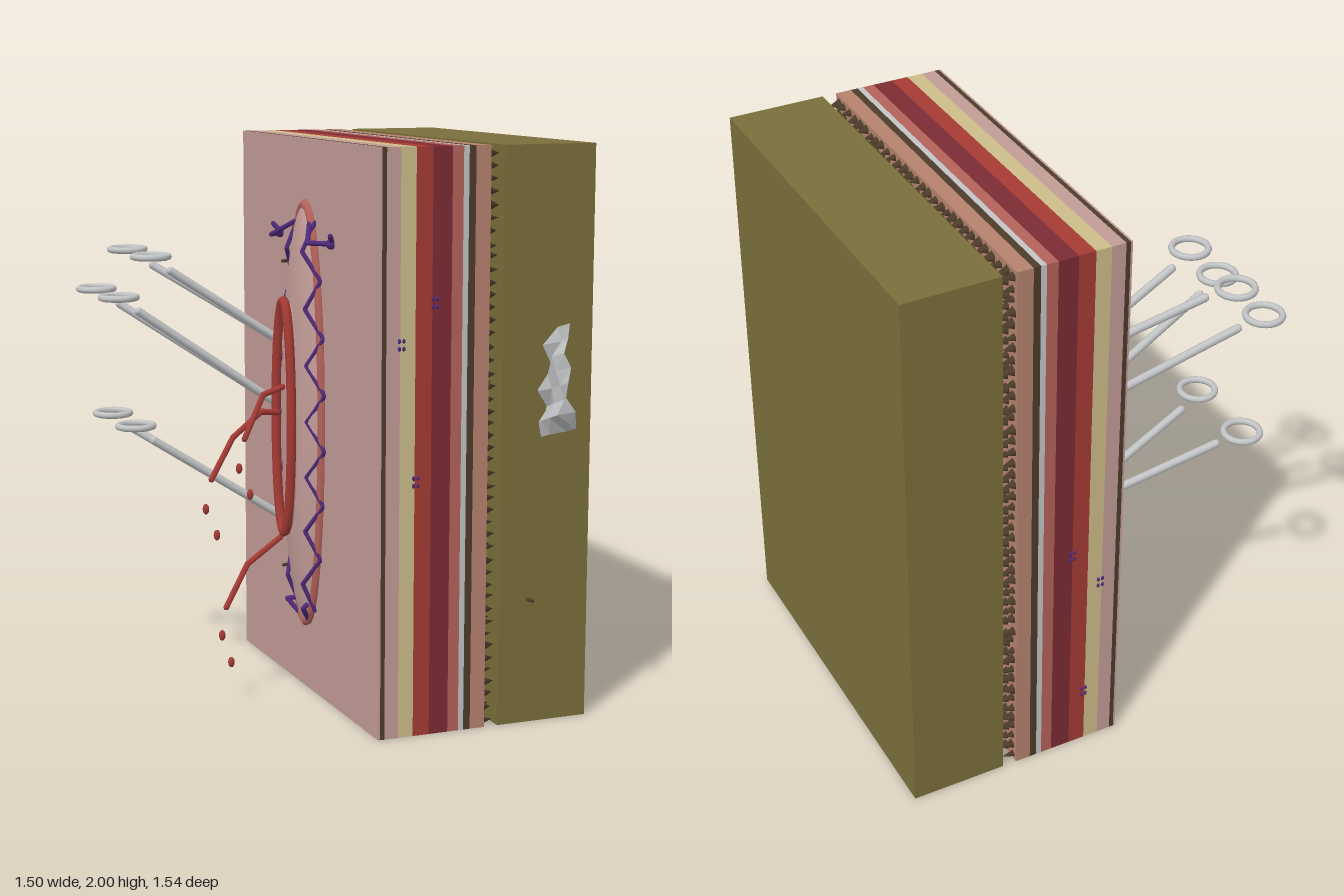
import * as THREE from 'three';
import { mergeGeometries } from 'three/addons/utils/BufferGeometryUtils.js';

const mat = (name, color, extra = {}) => {
  const m = new THREE.MeshStandardMaterial({ color, ...extra });
  m.name = name;
  return m;
};
const V = (x, y, z) => new THREE.Vector3(x, y, z);

export function createModel() {
  const root = new THREE.Group();
  root.name = 'layeredTissueBlock';
  const M = {
    pink: mat('skinPink', 0xc29c97),
    cream: mat('fatCream', 0xcdbd8a),
    red: mat('bloodRed', 0xa53a34),
    darkRed: mat('muscleDarkRed', 0x7c2b34),
    salmon: mat('membraneSalmon', 0xb4625a),
    steel: mat('steelGrey', 0xc2c4c6, { side: THREE.DoubleSide, flatShading: false }),
    brown: mat('darkBrown', 0x4d3c2a),
    tan: mat('innerTan', 0xb5826e),
    olive: mat('olive', 0x7a6f3b),
    purple: mat('threadPurple', 0x50297c),
  };
  const add = (name, geo, m, parent = root) => {
    const mesh = new THREE.Mesh(geo, m);
    mesh.name = name;
    parent.add(mesh);
    return mesh;
  };
  let seed = 7;
  const rnd = () => (seed = (seed * 16807) % 2147483647) / 2147483647;

  // Slabs side by side along x
  const ZC = -0.095, D = 1.33;
  const slab = (name, x0, x1, m) =>
    add(name, new THREE.BoxGeometry(x1 - x0, 2, D).translate((x0 + x1) / 2, 1, ZC), m);
  slab('skinFace', -0.038, -0.031, M.pink);
  slab('outerLayer', -0.031, -0.015, M.brown);
  slab('skinLayer', -0.015, 0.035, M.pink);
  slab('fatLayer', 0.035, 0.09, M.cream);
  slab('redMuscleLayer', 0.09, 0.15, M.red);
  slab('darkMuscleLayer', 0.15, 0.22, M.darkRed);
  slab('membraneLayer', 0.22, 0.26, M.salmon);
  slab('paleLayer', 0.26, 0.28, M.steel);
  slab('darkLayer', 0.28, 0.305, M.brown);
  slab('innerLayer', 0.305, 0.36, M.tan);
  slab('oliveBlock', 0.41, 0.75, M.olive);

  // Bristles in the gap
  const cones = [];
  for (let i = 0; i < 46; i++)
    for (let j = 0; j < 30; j++) {
      const r = 0.013 + rnd() * 0.009, h = 0.035 + rnd() * 0.012;
      cones.push(new THREE.ConeGeometry(r, h, 5, 1, true).rotateZ(-Math.PI / 2)
        .translate(0.358 + h / 2, 0.025 + i * 0.0433 + (rnd() - 0.5) * 0.012,
          ZC - D / 2 + 0.025 + j * 0.0441 + (rnd() - 0.5) * 0.012));
    }
  add('bristles', mergeGeometries(cones), M.brown);

  // Small helpers for bent rods and closed oval rings
  const rod = (name, pts, r, m, parent = root) => {
    const path = new THREE.CurvePath();
    for (let i = 1; i < pts.length; i++) path.add(new THREE.LineCurve3(pts[i - 1], pts[i]));
    const parts = path.curves.map(c => new THREE.TubeGeometry(c, 1, r, 8));
    pts.forEach(p => parts.push(new THREE.SphereGeometry(r, 8, 6).translate(p.x, p.y, p.z)));
    return add(name, mergeGeometries(parts), m, parent);
  };
  const oval = (x, ry, rz) => Array.from({ length: 48 }, (_, i) => {
    const a = (i / 48) * Math.PI * 2;
    return V(x, 1.01 + Math.cos(a) * ry, ZC + Math.sin(a) * rz);
  });
  const ring = (name, x, ry, rz, r, m) => add(name,
    new THREE.TubeGeometry(new THREE.CatmullRomCurve3(oval(x, ry, rz), true), 96, r, 8, true), m);

  // Wound: domed oval swelling, rim and raised red lip
  add('woundSwelling', new THREE.SphereGeometry(1, 40, 24).scale(0.075, 0.77, 0.165)
    .translate(-0.038, 1.01, ZC), M.pink);
  ring('woundRim', -0.042, 0.76, 0.16, 0.018, M.salmon);
  ring('redLip', -0.127, 0.42, 0.078, 0.018, M.red);
  const wall = new THREE.CylinderGeometry(1, 1, 0.07, 40, 1, true).rotateZ(Math.PI / 2)
    .scale(1, 0.41, 0.075).translate(-0.09, 1.01, ZC);
  add('lipWall', wall, M.pink);

  // Zigzag stitches along both edges, with loose ends and knots
  const stitches = new THREE.Group();
  stitches.name = 'stitches';
  root.add(stitches);
  for (const s of [-1, 1]) {
    const pts = [];
    for (let i = 0; i <= 14; i++) {
      const y = 0.31 + i * 0.1, w = Math.sqrt(Math.max(0, 1 - ((y - 1.01) / 0.78) ** 2));
      pts.push(i % 2 ? V(-0.085, y, ZC + s * 0.12 * w) : V(-0.04, y, ZC + s * (0.17 * w + 0.01)));
    }
    rod('stitchThread', pts, 0.008, M.purple, stitches);
    rod('threadTail', [V(-0.05, 1.71, ZC + s * 0.06), V(-0.105, 1.65, ZC + s * 0.18),
      V(-0.04, 1.65, ZC + s * 0.25), V(-0.06, 1.68, ZC + s * 0.28)], 0.009, M.purple, stitches);
    add('threadKnot', new THREE.SphereGeometry(0.019, 10, 8)
      .translate(-0.045, 1.65, ZC + s * 0.25), M.purple, stitches);
    rod('lowerTail', [V(-0.05, 0.33, ZC + s * 0.05), V(-0.085, 0.32, ZC + s * 0.08),
      V(-0.05, 0.27, ZC + s * 0.04)], 0.009, M.purple, stitches);
  }
  for (const y of [0.44, 1.56])
    rod('darkPin', [V(-0.035, y, -0.22), V(-0.09, y, -0.2)], 0.006, M.brown);

  // Three clamps: two shafts and two flat finger rings each
  const clamps = [[-0.48, 1.53, -0.555, 1.585, 1.24], [-0.6, 1.39, -0.675, 1.445, 1.0],
    [-0.55, 0.92, -0.62, 0.98, 0.59]];
  clamps.forEach(([x, y, rx, ry, tipY], i) => {
    const g = new THREE.Group();
    g.name = 'clamp';
    root.add(g);
    for (const [endZ, ringZ] of [[[-0.51, -0.54, -0.53][i], -0.58], [-0.297, -0.288]]) {
      rod('clampShaft', [V(-0.04, tipY, -0.268), V(x, y, endZ)], 0.015, M.steel, g);
      add('fingerRing', new THREE.TorusGeometry(0.063, 0.012, 8, 28).rotateX(Math.PI / 2)
        .translate(rx, ry, ringZ), M.steel, g);
    }
  });

  // Red streams and drops
  rod('stream', [V(-0.13, 1.12, -0.1), V(-0.21, 1.1, -0.08), V(-0.29, 0.95, -0.055)], 0.011, M.red);
  rod('stream', [V(-0.13, 1.02, -0.15), V(-0.2, 1.03, -0.13), V(-0.32, 0.95, -0.095),
    V(-0.41, 0.81, -0.07)], 0.011, M.red);
  rod('stream', [V(-0.13, 0.565, -0.125), V(-0.27, 0.485, -0.09), V(-0.36, 0.34, -0.065)], 0.011, M.red);
  for (const [x, y, z] of [[-0.32, 0.85, -0.03], [-0.29, 0.76, 0], [-0.44, 0.71, -0.045],
    [-0.41, 0.62, -0.015], [-0.385, 0.245, -0.04], [-0.36, 0.15, -0.015]])
    add('drop', new THREE.SphereGeometry(0.012, 10, 8).scale(1, 1.6, 1).translate(x, y, z), M.red);

  // Crumpled sheet sticking out of the front of the olive block
  const sheet = new THREE.PlaneGeometry(0.22, 0.35, 4, 7).rotateY(-Math.PI / 2);
  const p = sheet.attributes.position;
  for (let i = 0; i < p.count; i++) {
    const t = p.getY(i) / 0.35;
    p.setX(i, (rnd() - 0.5) * 0.065 + 0.09 * t * t + 0.02 * t);
  }
  sheet.rotateX(-0.32).translate(0.575, 1.205, 0.61);
  const foil = sheet.toNonIndexed();
  foil.computeVertexNormals();
  add('crumpledSheet', foil, M.steel);
  rod('smallStub', [V(0.52, 0.44, 0.565), V(0.53, 0.437, 0.585)], 0.007, M.brown);

  // Tiny paired marks on the front and back edges
  const marks = [];
  for (const [x, y, z] of [[0.16, 1.485, 0.57], [0.04, 1.35, 0.57], [0.095, 0.885, 0.57],
    [0.15, 0.84, -0.76], [0.04, 0.69, -0.76], [0.095, 0.22, -0.76]])
    for (const dx of [-0.008, 0.008])
      for (const dy of [-0.013, 0.013])
        marks.push(new THREE.SphereGeometry(0.006, 8, 6).scale(1, 1.4, 1).translate(x + dx, y + dy, z));
  add('edgeMarks', mergeGeometries(marks), M.purple);

  return root;
}
